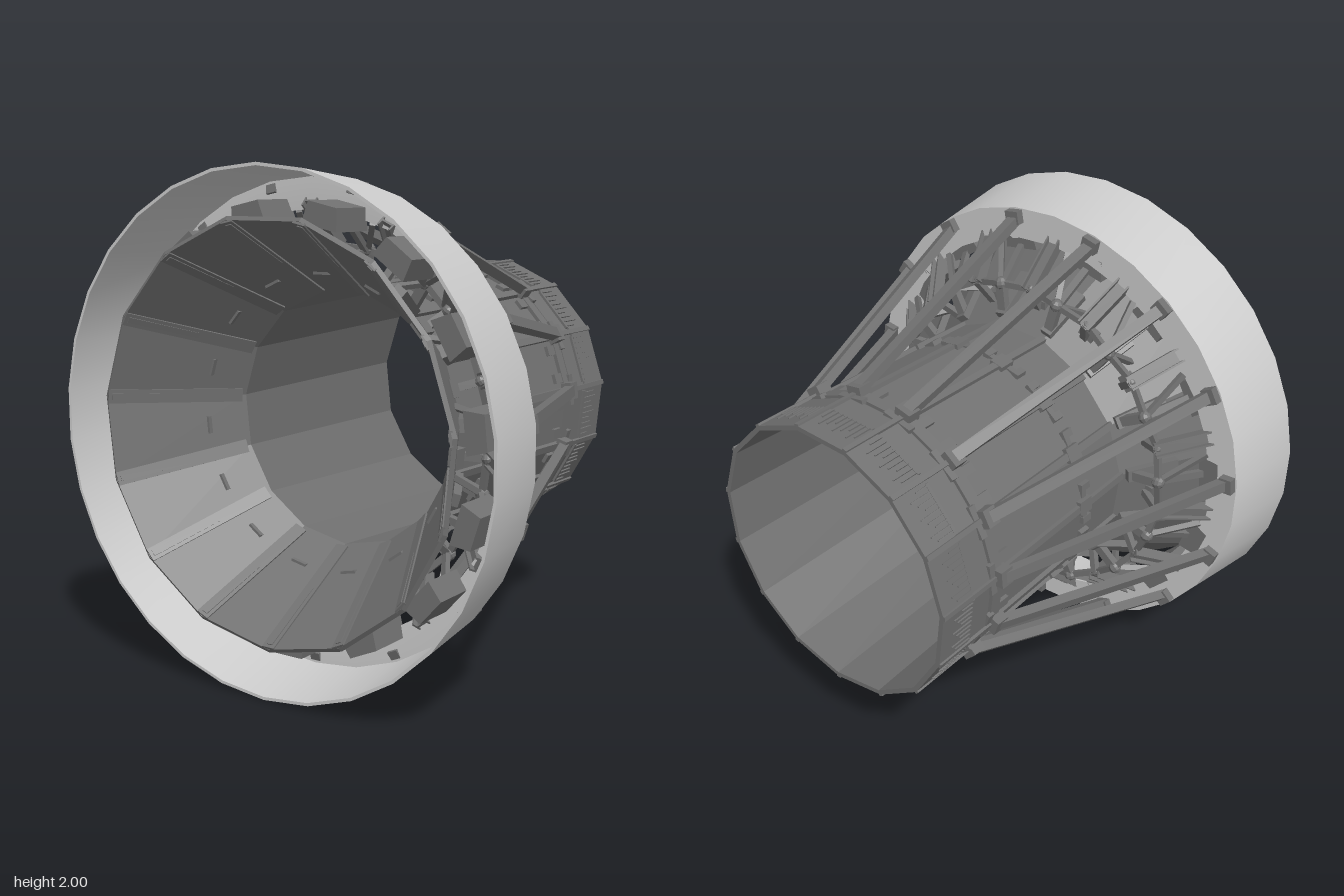
import * as THREE from 'three';
import { mergeGeometries, toCreasedNormals } from 'three/addons/utils/BufferGeometryUtils.js';

const COUNT = 15;
const STEP = (Math.PI * 2) / COUNT;
const light = new THREE.MeshStandardMaterial({ color: 0xcccccc, side: THREE.DoubleSide });
const dark = new THREE.MeshStandardMaterial({ color: 0x707070, flatShading: true, side: THREE.DoubleSide });

// Revolve a closed [radius, z] profile around the z axis
function revolve(profile, sides) {
  const pts = [...profile, profile[0]].map(([r, z]) => new THREE.Vector2(r, z));
  return new THREE.LatheGeometry(pts, sides).rotateX(Math.PI / 2);
}

// Box bar from p to q; local frame is x tangential, y radial, z along the axis
function bar(p, q, w, h) {
  const a = new THREE.Vector3(...p), b = new THREE.Vector3(...q);
  const m = new THREE.Matrix4().lookAt(b, a, new THREE.Vector3(0, 1, 0));
  m.setPosition(a.clone().add(b).multiplyScalar(0.5));
  return new THREE.BoxGeometry(w, h, a.distanceTo(b)).applyMatrix4(m);
}

function box(w, h, d, x, y, z) {
  return new THREE.BoxGeometry(w, h, d).translate(x, y, z);
}

function ball(r, x, y, z) {
  return new THREE.SphereGeometry(r, 8, 6).translate(x, y, z);
}

export function createModel() {
  const model = new THREE.Group();
  const engine = new THREE.Group();
  engine.name = 'nozzle';
  engine.position.y = 1;
  model.add(engine);

  function add(name, geometry, material = dark) {
    const mesh = new THREE.Mesh(geometry, material);
    mesh.name = name;
    engine.add(mesh);
  }

  // Repeat parts around the axis: at the corners (shift 0) or facet centres (shift 0.5)
  function around(name, parts, shift = 0, material = dark) {
    const unit = mergeGeometries(parts.map((g) => (g.index ? g.toNonIndexed() : g)));
    const copies = [];
    for (let k = 0; k < COUNT; k++) copies.push(unit.clone().rotateZ(Math.PI + (k + shift) * STEP));
    add(name, mergeGeometries(copies), material);
  }

  // Smooth outer ring with inward flange
  const ring = revolve([[0.83, 0.49], [0.96, 0.49], [1, 0.83], [0.988, 0.83], [0.95, 0.505], [0.89, 0.505], [0.83, 0.5]], 30);
  add('frontRing', toCreasedNormals(ring, 0.5), light);

  // Faceted barrel and flared front petals
  add('barrel', revolve([
    [0.565, -0.82], [0.585, -0.82], [0.583, -0.66], [0.575, -0.66], [0.574, -0.55],
    [0.562, -0.55], [0.535, 0.3], [0.511, 0.3],
  ], COUNT));
  add('flarePetals', revolve([[0.511, 0.3], [0.532, 0.29], [0.825, 0.79], [0.81, 0.8]], COUNT));

  // Seal strips over the inner flare joints
  around('flareSeals', [
    bar([0, 0.805, 0.8], [0, 0.515, 0.32], 0.055, 0.012),
    bar([0, 0.795, 0.79], [0, 0.64, 0.53], 0.025, 0.012),
  ]);

  // Long seals, clamps and rear hinges along the barrel corners
  around('barrelSeals', [
    bar([0, 0.538, 0.3], [0, 0.567, -0.52], 0.03, 0.02),
    box(0.16, 0.015, 0.025, 0, 0.535, 0.05),
    box(0.06, 0.03, 0.07, 0, 0.545, 0.04),
    box(0.03, 0.02, 0.05, 0.075, 0.535, 0.06),
    box(0.03, 0.02, 0.05, -0.075, 0.535, 0.06),
    bar([0, 0.58, -0.53], [0, 0.585, -0.82], 0.02, 0.012),
    box(0.13, 0.02, 0.03, 0, 0.567, -0.54),
  ]);

  // Stiffening band across each facet
  around('collarPlates', [
    box(0.17, 0.015, 0.05, 0, 0.559, -0.51),
    box(0.2, 0.01, 0.015, 0, 0.567, -0.655),
    box(0.04, 0.015, 0.06, 0.06, 0.556, -0.46),
    box(0.04, 0.015, 0.06, -0.06, 0.556, -0.46),
  ], 0.5);

  // Fine cooling ribs of uneven length near the outlet
  const ribs = [];
  for (let i = -4; i <= 4; i++) {
    const length = [0.1, 0.06, 0.08][(i + 6) % 3];
    ribs.push(box(0.005, 0.008, length, i * 0.023, 0.573, -0.66 - length / 2));
  }
  around('outletRibs', ribs, 0.5);

  // Long support rods with end fittings
  around('supportRods', [
    bar([0, 0.925, 0.51], [0, 0.585, -0.52], 0.045, 0.038),
    box(0.065, 0.055, 0.035, 0, 0.925, 0.475),
    box(0.07, 0.045, 0.06, 0, 0.588, -0.5),
  ]);

  // Tapered hinge blocks between flange and flare
  const wedge = new THREE.Shape([[-0.08, 0.785], [0.08, 0.785], [0.065, 0.87], [-0.065, 0.87]]
    .map(([x, y]) => new THREE.Vector2(x, y)));
  around('hingeBlocks', [
    new THREE.ExtrudeGeometry(wedge, { depth: 0.19, bevelEnabled: false }).translate(0, 0, 0.49),
  ]);

  // I-section links from flange to the control linkage
  around('flangeLinks', [
    bar([-0.026, 0.86, 0.515], [-0.026, 0.69, 0.34], 0.008, 0.045),
    bar([0.026, 0.86, 0.515], [0.026, 0.69, 0.34], 0.008, 0.045),
    bar([0, 0.86, 0.515], [0, 0.69, 0.34], 0.052, 0.008),
    bar([0, 0.69, 0.35], [0, 0.58, 0.41], 0.03, 0.025),
    box(0.07, 0.04, 0.05, 0, 0.6, 0.43),
  ], 0.5);

  // Control linkage ring with ball joints and crossing struts
  const half = 0.69 * Math.sin(STEP / 2), level = 0.69 * Math.cos(STEP / 2);
  around('controlLinkage', [
    bar([-half, level, 0.36], [0, 0.69, 0.34], 0.02, 0.025),
    bar([half, level, 0.36], [0, 0.69, 0.34], 0.02, 0.025),
    ball(0.028, 0, 0.69, 0.34),
    ball(0.022, half, level, 0.36),
    bar([0, 0.69, 0.34], [0, 0.57, 0.33], 0.04, 0.03),
    bar([0, 0.69, 0.34], [0.1, 0.82, 0.49], 0.022, 0.022),
    bar([0, 0.69, 0.34], [-0.07, 0.62, 0.48], 0.022, 0.022),
    bar([0, 0.56, 0.31], [0, 0.67, 0.5], 0.05, 0.03),
    bar([0, 0.69, 0.36], [0, 0.8, 0.5], 0.03, 0.02),
  ]);

  return model;
}
